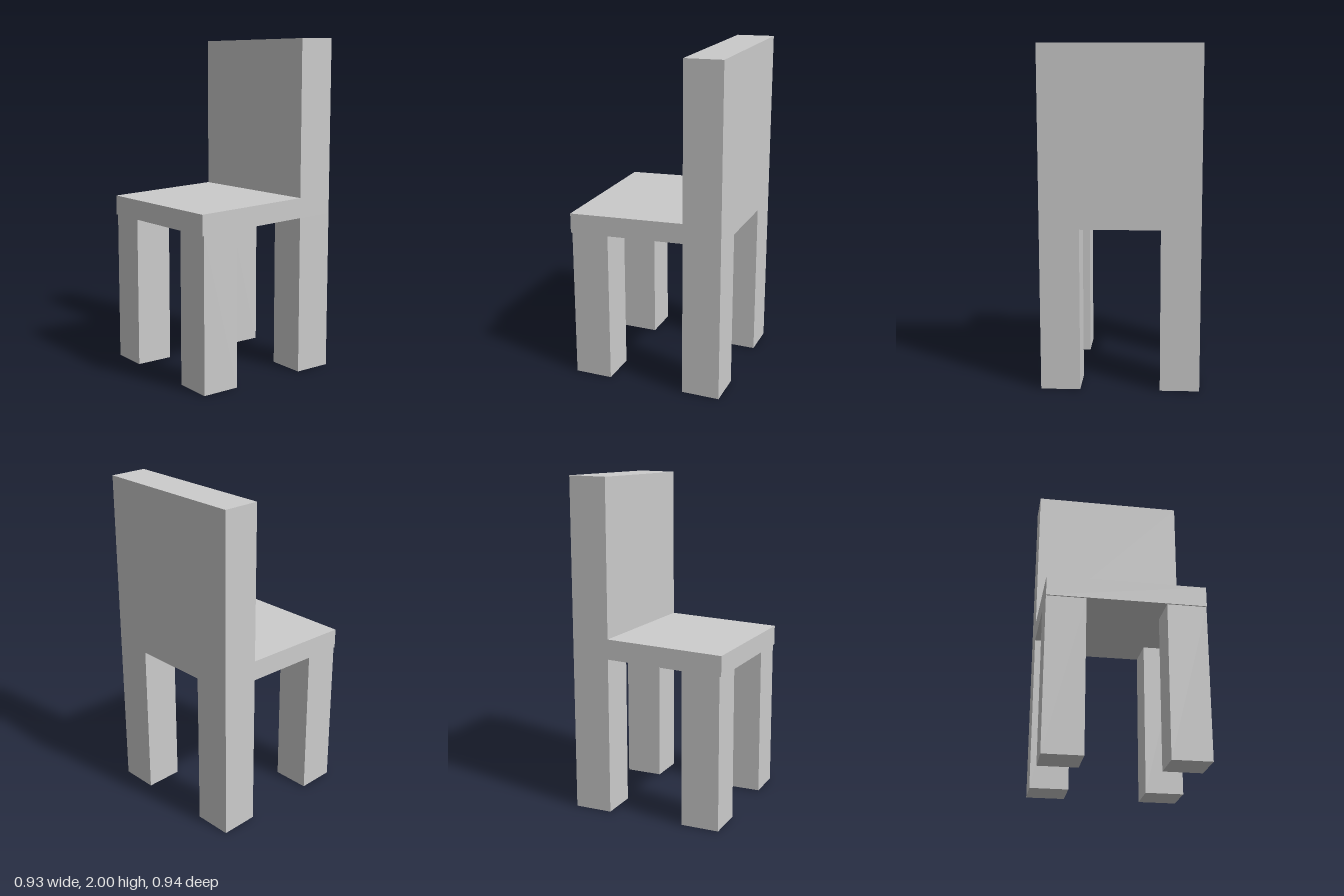
import * as THREE from 'three';

const WIDTH = 0.925;
const LEG_WIDTH = 0.23;
const FRONT = 0.47, BACK = -0.47, BACK_INNER = -0.24;

// The seat rises gently towards the back.
const underside = (z) => 0.915 + (FRONT - z) * 0.042;
const seatTop = (z) => underside(z) + 0.12;

export function createModel() {
  const group = new THREE.Group();
  const material = new THREE.MeshStandardMaterial({ color: 0xcccccc, flatShading: true });

  // Extrudes a side profile of [z, y] points across x, centred on the given x.
  function addSlab(name, profile, width, x = 0) {
    const shape = new THREE.Shape(profile.map(([z, y]) => new THREE.Vector2(z, y)));
    const geometry = new THREE.ExtrudeGeometry(shape, { depth: width, bevelEnabled: false });
    geometry.translate(0, 0, -width / 2);
    geometry.rotateY(-Math.PI / 2);
    const mesh = new THREE.Mesh(geometry, material);
    mesh.name = name;
    mesh.position.x = x;
    group.add(mesh);
  }

  // Sloping seat
  addSlab('seat', [
    [BACK, underside(BACK)], [FRONT, underside(FRONT)],
    [FRONT, seatTop(FRONT)], [BACK, seatTop(BACK)],
  ], WIDTH);

  // Upright backrest, standing on the rear of the seat
  addSlab('backrest', [
    [BACK, seatTop(BACK)], [BACK_INNER, seatTop(BACK_INNER)],
    [BACK_INNER, 1.995], [BACK, 2],
  ], WIDTH);

  // Four square legs cut to the slope of the seat
  for (const [side, sign] of [['Left', 1], ['Right', -1]]) {
    for (const [end, z0, z1] of [['front', 0.23, 0.46], ['back', BACK, BACK_INNER]]) {
      addSlab(`${end}${side}Leg`, [
        [z0, 0], [z1, 0], [z1, underside(z1)], [z0, underside(z0)],
      ], LEG_WIDTH, sign * (WIDTH - LEG_WIDTH) / 2);
    }
  }

  return group;
}
